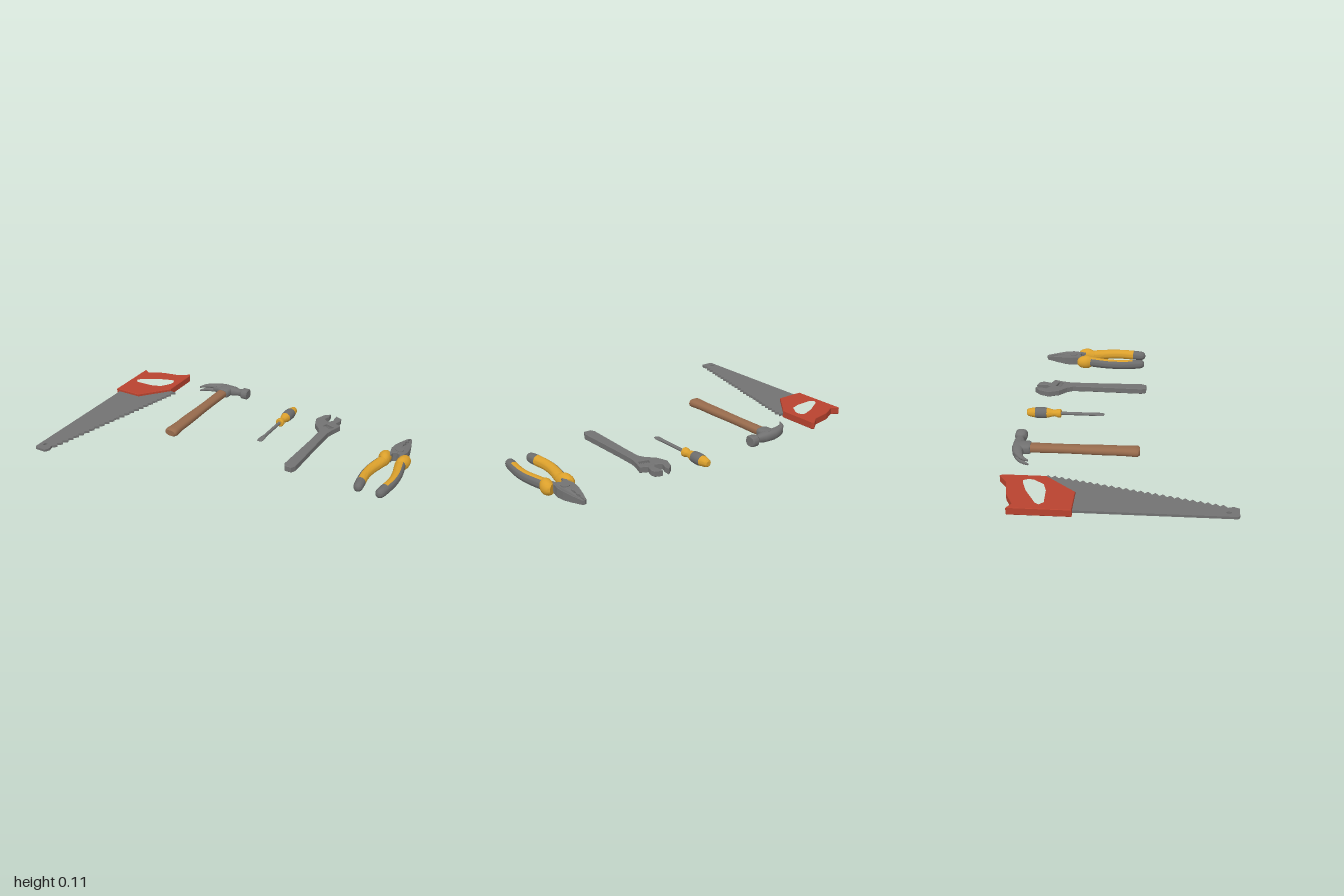
import * as THREE from 'three';
import { toCreasedNormals } from 'three/addons/utils/BufferGeometryUtils.js';

const material = (name, color) => {
  const m = new THREE.MeshStandardMaterial({ color });
  m.name = name;
  return m;
};

const V2 = (a) => a.map(([x, z]) => new THREE.Vector2(x, -z));

// Flat part from an outline of [x, z] points, centred on height y
function plate(outline, y, thick, { holes = [], bevel = 0 } = {}) {
  const shape = new THREE.Shape(V2(outline));
  holes.forEach((h) => shape.holes.push(new THREE.Path(V2(h))));
  const g = new THREE.ExtrudeGeometry(shape, {
    depth: thick - 2 * bevel, bevelEnabled: bevel > 0, bevelSize: bevel,
    bevelThickness: bevel, bevelOffset: -bevel, bevelSegments: 1,
  });
  g.translate(0, 0, bevel - thick / 2).rotateX(-Math.PI / 2).translate(0, y, 0);
  g.clearGroups();
  return g;
}

// Add in-between stations along a smooth curve
function smooth(stations, n) {
  const path = new THREE.SplineCurve(stations.map((s) => new THREE.Vector2(s[0], s[1])));
  const size = new THREE.SplineCurve(stations.map((s) => new THREE.Vector2(s[2], s[3])));
  return Array.from({ length: n + 1 }, (_, i) => {
    const p = path.getPoint(i / n), s = size.getPoint(i / n);
    return [p.x, p.y, s.x, s.y];
  });
}

// Oval sections swept through stations [x, z, halfWidth, halfHeight] at height y.
// pick(station, angle) chooses the material slot; power < 1 squares the section.
function sweep(stations, y, { sides = 20, power = 1, pick = () => 0, crease = 0.6 } = {}) {
  const bend = (v) => Math.sign(v) * Math.abs(v) ** power;
  const last = stations.length - 1;
  const rings = stations.map(([x, z, w, h], i) => {
    const a = stations[Math.max(i - 1, 0)], b = stations[Math.min(i + 1, last)];
    const d = new THREE.Vector2(b[0] - a[0], b[1] - a[1]).normalize();
    return Array.from({ length: sides }, (_, j) => {
      const t = (j / sides) * Math.PI * 2, c = bend(Math.cos(t)) * w;
      return [x + d.y * c, y + bend(Math.sin(t)) * h, z - d.x * c];
    });
  });
  const buckets = [[], []];
  for (let i = 0; i < last; i++) {
    for (let j = 0; j < sides; j++) {
      const k = (j + 1) % sides;
      const a = rings[i][j], b = rings[i][k], c = rings[i + 1][k], d = rings[i + 1][j];
      buckets[pick(i, ((j + 0.5) / sides) * Math.PI * 2)].push(...a, ...b, ...d, ...b, ...c, ...d);
    }
  }
  for (let j = 1; j < sides - 1; j++) {
    buckets[pick(0, 0)].push(...rings[0][0], ...rings[0][j + 1], ...rings[0][j]);
    buckets[pick(last, 0)].push(...rings[last][0], ...rings[last][j], ...rings[last][j + 1]);
  }
  const g = new THREE.BufferGeometry();
  g.setAttribute('position', new THREE.Float32BufferAttribute(buckets.flat(), 3));
  g.addGroup(0, buckets[0].length / 3, 0);
  if (buckets[1].length) g.addGroup(buckets[0].length / 3, buckets[1].length / 3, 1);
  else g.clearGroups();
  return toCreasedNormals(g, crease);
}

export function createModel() {
  const metal = material('grey metal', 0x727272);
  const grip = material('grey rubber', 0x6c6c6c);
  const red = material('red paint', 0xb8432f);
  const wood = material('brown wood', 0x966a4c);
  const yellow = material('yellow plastic', 0xdba02c);
  const model = new THREE.Group();
  const tool = (name) => {
    const group = new THREE.Group();
    group.name = name;
    model.add(group);
    return (part, geometry, mat) => {
      const m = new THREE.Mesh(geometry, mat);
      m.name = part;
      group.add(m);
      return m;
    };
  };

  // Saw: handle with a finger hole, and a toothed blade
  const saw = tool('saw');
  saw('sawHandle', plate(
    [[-1, -0.55], [-0.96, -0.525], [-0.87, -0.57], [-0.76, -0.59], [-0.7, -0.635], [-0.69, -0.62],
      [-0.69, -0.385], [-0.81, -0.24], [-0.83, -0.215], [-1, -0.215]], 0.081, 0.044,
    { bevel: 0.003, holes: [[[-0.965, -0.385], [-0.95, -0.41], [-0.84, -0.475], [-0.77, -0.5], [-0.74, -0.505],
      [-0.725, -0.475], [-0.73, -0.445], [-0.77, -0.385], [-0.83, -0.365], [-0.94, -0.36]]] }), red);
  const blade = [[-0.98, -0.3], [-0.98, 0.62], [-0.97, 0.63], [-0.905, 0.63], [-0.892, 0.6]];
  const teeth = 24;
  for (let i = 0; i < teeth; i++) {
    const x = -0.902 + (0.225 * i) / teeth, z = 0.57 - (0.93 * i) / teeth;
    blade.push([x, z], [x + 0.025, z - 0.022]);
  }
  blade.push([-0.68, -0.36], [-0.655, -0.385], [-0.7, -0.385], [-0.76, -0.3]);
  const hangHole = Array.from({ length: 12 }, (_, i) => {
    const a = (i / 12) * Math.PI * 2;
    return [-0.945 + Math.cos(a) * 0.01, 0.575 + Math.sin(a) * 0.014];
  });
  saw('sawBlade', plate(blade, 0.08, 0.014, { holes: [hangHole] }), metal);

  // Hammer: oval wooden handle, striking head, socket and split claw
  const hammer = tool('hammer');
  hammer('hammerHandle', sweep([
    ...smooth([[-0.38, -0.54, 0.033, 0.024], [-0.38, -0.48, 0.032, 0.024], [-0.38, -0.3, 0.031, 0.023],
      [-0.38, -0.12, 0.036, 0.024], [-0.38, 0, 0.036, 0.024], [-0.38, 0.07, 0.042, 0.026]], 15),
    [-0.38, 0.085, 0.04, 0.024], [-0.38, 0.094, 0.03, 0.018]], 0.088, { power: 0.8 }), wood);
  hammer('hammerHead', sweep([
    [-0.224, -0.595, 0.03, 0.028], [-0.229, -0.595, 0.035, 0.032], [-0.263, -0.595, 0.035, 0.032],
    [-0.28, -0.593, 0.021, 0.022], [-0.295, -0.593, 0.021, 0.022], [-0.327, -0.592, 0.031, 0.028],
    [-0.4, -0.591, 0.033, 0.03], [-0.44, -0.583, 0.03, 0.028], [-0.475, -0.572, 0.021, 0.025]],
  0.088, { power: 0.8 }), metal);
  hammer('hammerSocket', sweep([[-0.38, -0.6, 0.045, 0.03], [-0.38, -0.53, 0.042, 0.03],
    [-0.38, -0.52, 0.036, 0.026]], 0.088, { power: 0.6 }), metal);
  for (const s of [-1, 1]) {
    hammer('hammerClaw', sweep(smooth([[-0.455, -0.579, 0.025, 0.013], [-0.485, -0.566, 0.019, 0.012],
      [-0.515, -0.547, 0.012, 0.01], [-0.541, -0.51, 0.003, 0.006]], 9), 0.088 + s * 0.0125, { power: 0.8 }), metal);
  }

  // Screwdriver: handle with a rubber band, collar, shaft and flat tip
  const driver = tool('screwdriver');
  const turned = (profile) => sweep(profile.map(([z, r, h = r]) => [0.1, z, r, h]), 0.05);
  driver('driverHandleEnd', turned([[-0.622, 0.014], [-0.615, 0.022], [-0.595, 0.027], [-0.57, 0.031]]), yellow);
  driver('driverGrip', turned([[-0.57, 0.032], [-0.555, 0.034], [-0.52, 0.034], [-0.5, 0.032]]), grip);
  driver('driverCollar', turned([[-0.5, 0.031], [-0.475, 0.025], [-0.455, 0.02], [-0.446, 0.021],
    [-0.435, 0.026], [-0.417, 0.027], [-0.412, 0.021]]), yellow);
  driver('driverShaft', turned([[-0.43, 0.01], [-0.21, 0.01], [-0.203, 0.014, 0.01], [-0.195, 0.017, 0.009],
    [-0.165, 0.018, 0.006], [-0.15, 0.014, 0.003]]), metal);

  // Adjustable wrench: handle with fixed jaw, sliding jaw and worm screw
  const wrench = tool('wrench');
  wrench('wrenchBody', plate(
    [[0.36, -0.61], [0.325, -0.58], [0.302, -0.52], [0.325, -0.455], [0.37, -0.41], [0.388, -0.375],
      [0.388, -0.265], [0.38, 0.06], [0.393, 0.088], [0.436, 0.088], [0.45, 0.06], [0.443, -0.265],
      [0.443, -0.385], [0.452, -0.435], [0.473, -0.5], [0.43, -0.52], [0.385, -0.515], [0.35, -0.54],
      [0.362, -0.575]], 0.071, 0.036,
    { bevel: 0.003, holes: [[[0.378, -0.452], [0.39, -0.485], [0.448, -0.468], [0.436, -0.437]]] }), metal);
  wrench('wrenchSlidingJaw', plate(
    [[0.398, -0.605], [0.44, -0.59], [0.445, -0.56], [0.425, -0.5], [0.375, -0.505], [0.405, -0.545],
      [0.4, -0.575]], 0.071, 0.034, { bevel: 0.003 }), metal);
  const worm = new THREE.CylinderGeometry(0.009, 0.009, 0.06, 14).rotateZ(Math.PI / 2);
  const along = (geometry, d) => geometry.rotateY(-0.28).translate(0.413 + d * 0.96, 0.071, -0.461 + d * 0.28);
  wrench('wormScrew', along(worm, 0), metal);
  for (let i = -2; i <= 2; i++) {
    wrench('wormThread', along(new THREE.TorusGeometry(0.01, 0.004, 6, 16).rotateY(Math.PI / 2), i * 0.01), metal);
  }

  // Pliers: mirrored jaws and two-colour handles around a pivot
  const pliers = tool('pliers');
  const cx = 0.888, py = 0.05;
  for (const s of [-1, 1]) {
    const half = [[0.001, -0.61], [0.012, -0.605], [0.032, -0.54], [0.047, -0.48], [0.051, -0.43], [0.042, -0.39],
      [0.05, -0.35], [0.025, -0.35], [0.02, -0.375], [0, -0.385], [0, -0.485], [0.006, -0.5], [0.007, -0.52],
      [0.001, -0.53], [0.008, -0.545], [0.008, -0.56], [0.001, -0.57], [0.005, -0.585]];
    const jaw = plate(half.map(([x, z]) => [cx + s * x, z]), py, 0.056, { bevel: 0.002 });
    const p = jaw.attributes.position;
    for (let i = 0; i < p.count; i++) {
      const f = 1 - 0.55 * THREE.MathUtils.clamp((-0.46 - p.getZ(i)) / 0.15, 0, 1);
      p.setY(i, py + (p.getY(i) - py) * f);
    }
    jaw.computeVertexNormals();
    pliers('pliersJaw', jaw, metal);

    const at = (rows) => rows.map(([x, z, w, h]) => [cx + s * x, z, w, h]);
    pliers('pliersCollar', sweep(smooth(at([[0.05, -0.385, 0.026, 0.028], [0.057, -0.37, 0.035, 0.038],
      [0.058, -0.345, 0.037, 0.043], [0.053, -0.325, 0.034, 0.043], [0.05, -0.305, 0.03, 0.035],
      [0.05, -0.29, 0.027, 0.03]]), 14), py), yellow);
    const arm = smooth(at([[0.049, -0.32, 0.03, 0.032], [0.062, -0.265, 0.032, 0.032], [0.078, -0.185, 0.03, 0.031],
      [0.082, -0.105, 0.028, 0.031], [0.073, -0.025, 0.029, 0.031], [0.066, 0.025, 0.027, 0.029],
      [0.063, 0.045, 0.02, 0.022], [0.062, 0.053, 0.009, 0.01]]), 28);
    pliers('pliersHandle', sweep(arm, py, {
      sides: 24, crease: 0.8,
      pick: (i, a) => (i >= 16 || s * Math.cos(a) > 0.55 ? 1 : 0),
    }), [yellow, grip]);
  }
  pliers('pliersPivot', new THREE.CylinderGeometry(0.024, 0.024, 0.06, 20).translate(cx, py, -0.43), metal);

  return model;
}
